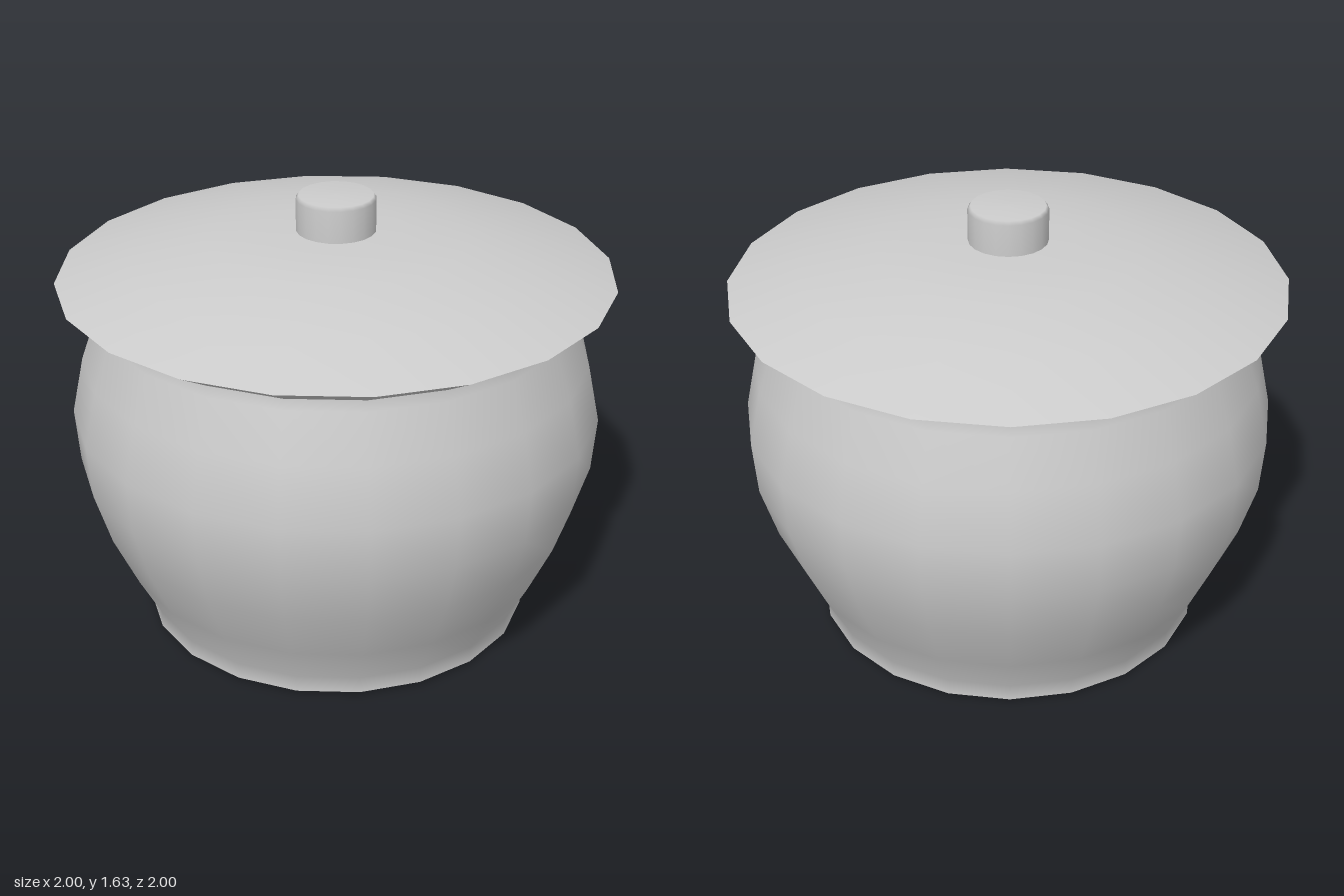
import * as THREE from 'three';

const SIDES = 20;
const material = new THREE.MeshStandardMaterial({ color: 0xcccccc });

// Smooth surface of revolution; separate profiles meet at sharp edges
function turned(name, ...profiles) {
  const group = new THREE.Group();
  group.name = name;
  profiles.forEach((profile, i) => {
    const points = profile.map(([r, y]) => new THREE.Vector2(r, y));
    const mesh = new THREE.Mesh(new THREE.LatheGeometry(points, SIDES), material);
    mesh.name = `${name}Surface${i + 1}`;
    group.add(mesh);
  });
  return group;
}

export function createModel() {
  const model = new THREE.Group();
  model.name = 'liddedPot';

  // Rounded pot on a short straight foot, with a flat base
  model.add(turned('pot',
    [[0, 0], [0.69, 0.005], [0.72, 0.013]],
    [[0.72, 0.013], [0.72, 0.075], [0.80, 0.23], [0.89, 0.43], [0.95, 0.63],
      [0.965, 0.83], [0.92, 1.04], [0.86, 1.21], [0.855, 1.25]],
  ));

  // Wide domed lid with a sharp rim and a tapered underside
  model.add(turned('lid',
    [[0, 1.25], [0.855, 1.25]],
    [[0.855, 1.25], [1, 1.335]],
    [[1, 1.335], [0.75, 1.415], [0.47, 1.475], [0.24, 1.494], [0, 1.497]],
  ));

  // Cylindrical knob with a softened top edge
  model.add(turned('knob',
    [[0.143, 1.48], [0.143, 1.612], [0.133, 1.625], [0, 1.627]],
  ));

  return model;
}
